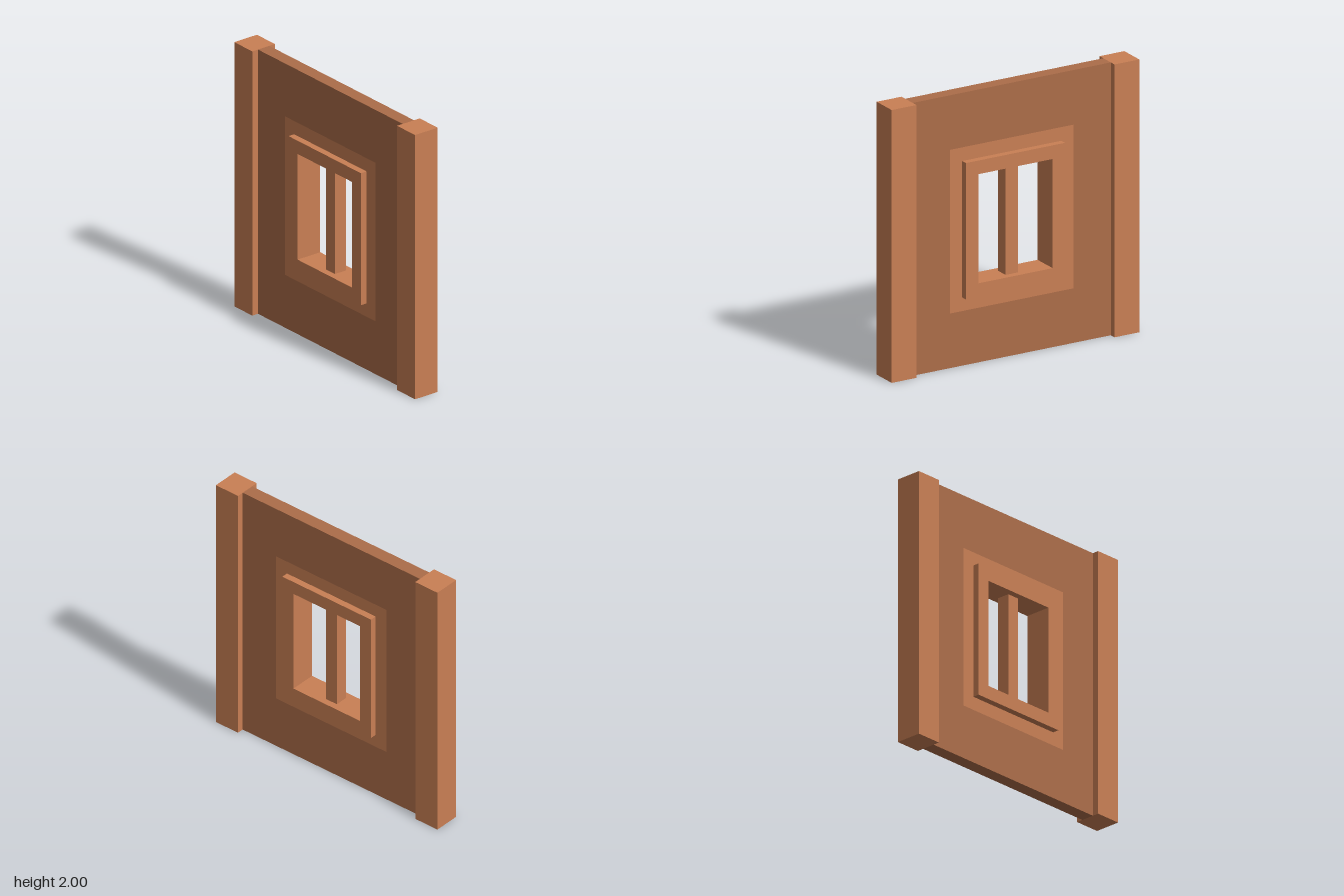
import * as THREE from 'three';

const light = new THREE.MeshStandardMaterial({ color: 0xc97f54 });
const dark = new THREE.MeshStandardMaterial({ color: 0xac6d49 });

// Rectangle centred on z = 0, given by its half width and its bottom and top
function rectangle(PathType, [half, bottom, top]) {
  const path = new PathType();
  path.moveTo(-half, bottom);
  path.lineTo(half, bottom);
  path.lineTo(half, top);
  path.lineTo(-half, top);
  path.closePath();
  return path;
}

// Rectangular ring in the z-y plane, with its thickness along x
function ring(name, outer, inner, thickness, material) {
  const shape = rectangle(THREE.Shape, outer);
  shape.holes.push(rectangle(THREE.Path, inner));
  const geometry = new THREE.ExtrudeGeometry(shape, { depth: thickness, bevelEnabled: false });
  geometry.translate(0, 0, -thickness / 2);
  geometry.rotateY(Math.PI / 2);
  const mesh = new THREE.Mesh(geometry, material);
  mesh.name = name;
  return mesh;
}

function box(name, width, height, depth, y, z) {
  const mesh = new THREE.Mesh(new THREE.BoxGeometry(width, height, depth), light);
  mesh.name = name;
  mesh.position.set(0, y, z);
  return mesh;
}

export function createModel() {
  const model = new THREE.Group();
  model.name = 'windowWall';

  // Outlines from the wall's edge inward to the opening
  const wall = [0.8, 0, 2];
  const border = [0.5, 0.4, 1.6];
  const frame = [0.4, 0.5, 1.5];
  const opening = [0.3, 0.6, 1.4];

  // Wall with a lighter border flush around the window
  model.add(ring('wallPanel', wall, border, 0.1, dark));
  model.add(ring('windowBorder', border, frame, 0.1, light));

  // Raised window frame and its upright bar
  model.add(ring('windowFrame', frame, opening, 0.2, light));
  model.add(box('windowBar', 0.1, 0.8, 0.1, 1, 0));

  // Square posts at both ends
  model.add(box('frontPost', 0.2, 2, 0.2, 1, 0.9));
  model.add(box('backPost', 0.2, 2, 0.2, 1, -0.9));

  return model;
}
